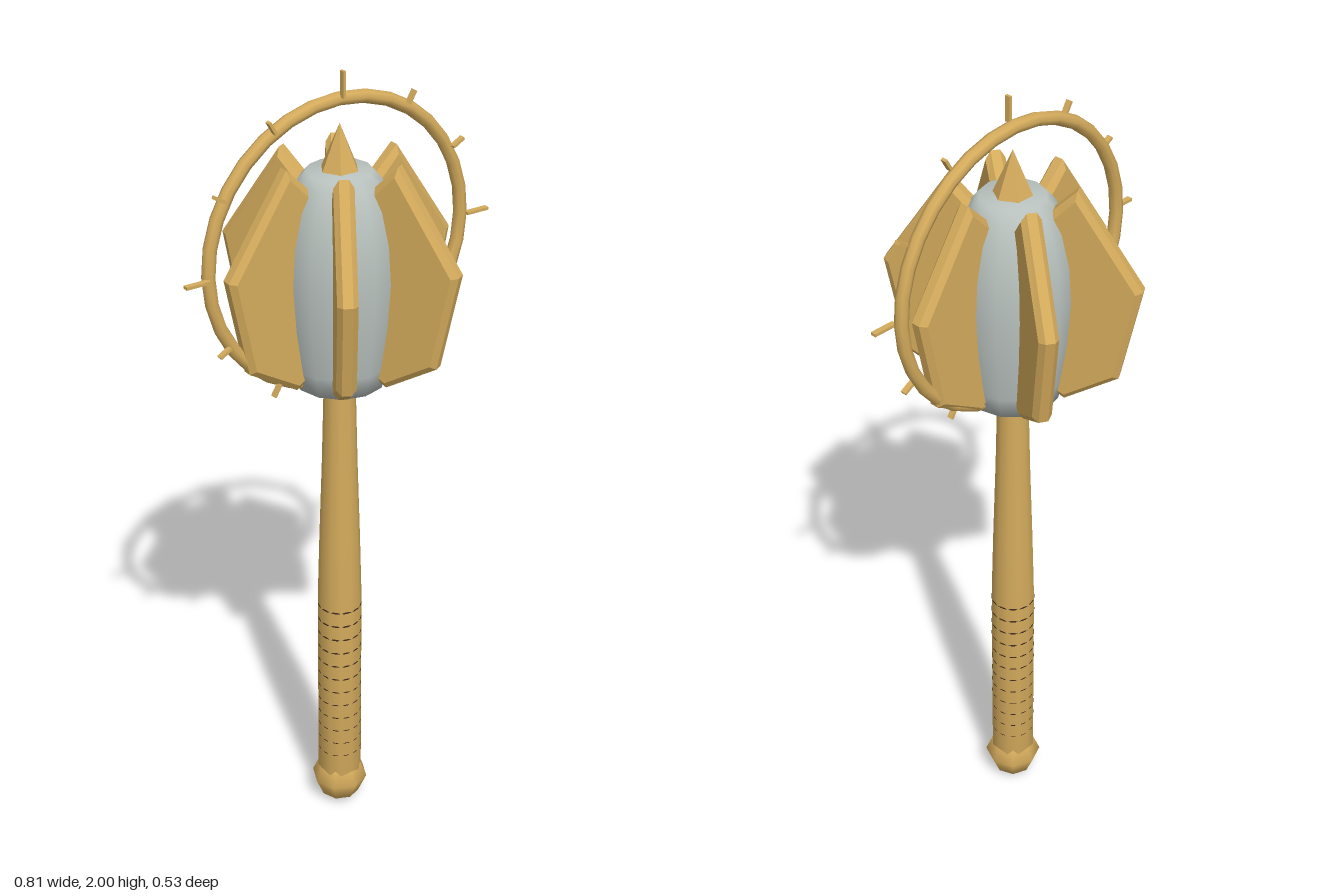
import * as THREE from 'three';

const gold = new THREE.MeshStandardMaterial({ color: 0xd4ab5c });
const goldFlat = new THREE.MeshStandardMaterial({ color: 0xd4ab5c, flatShading: true });
const silver = new THREE.MeshStandardMaterial({ color: 0xb9c2be });
const dark = new THREE.MeshStandardMaterial({ color: 0x3d2a20 });

function add(parent, name, geometry, material, x = 0, y = 0, z = 0) {
  const mesh = new THREE.Mesh(geometry, material);
  mesh.name = name;
  mesh.position.set(x, y, z);
  parent.add(mesh);
  return mesh;
}

const lathe = (points, sides) =>
  new THREE.LatheGeometry(points.map(([r, y]) => new THREE.Vector2(r, y)), sides);

export function createModel() {
  const mace = new THREE.Group();
  mace.name = 'mace';

  // Pommel and tapering handle
  add(mace, 'pommel', new THREE.SphereGeometry(0.072, 8, 4), gold, 0, 0.073, 0);
  add(mace, 'handle', lathe([[0, 0.08], [0.056, 0.08], [0.055, 0.64], [0.05, 0.82],
    [0.043, 1.03], [0.037, 1.27]], 12), gold);

  // Grip bands, breaking the surface only at the middle of each facet
  for (let i = 0; i < 12; i++) {
    const band = add(mace, 'gripBand', new THREE.TorusGeometry(0.0523, 0.0025, 6, 36),
      dark, 0, 0.17 + i * 0.041, 0);
    band.rotation.x = Math.PI / 2;
  }

  // Domed head core
  add(mace, 'headCore', lathe([[0, 1.255], [0.108, 1.255], [0.122, 1.31], [0.138, 1.42],
    [0.145, 1.53], [0.139, 1.62], [0.121, 1.7], [0.095, 1.75], [0.075, 1.773], [0, 1.778]], 12), silver);

  // Six bevelled flanges around the core
  const outline = [[0.06, 1.72], [0.1, 1.76], [0.145, 1.805], [0.297, 1.575], [0.25, 1.34],
    [0.125, 1.265], [0.07, 1.3]];
  const bevel = 0.014;
  const flange = new THREE.ExtrudeGeometry(
    new THREE.Shape(outline.map(([r, y]) => new THREE.Vector2(r, y))),
    { depth: 0.022, bevelEnabled: true, bevelSegments: 1, bevelThickness: 0.012, bevelSize: bevel, bevelOffset: -bevel });
  flange.translate(0, 0, -0.011);
  for (let i = 0; i < 6; i++) {
    add(mace, 'flange', flange, goldFlat).rotation.y = i * Math.PI / 3;
  }

  // Hexagonal tip
  const tip = add(mace, 'tip', new THREE.ConeGeometry(0.054, 0.125, 6), goldFlat, 0, 1.8175, 0);
  tip.rotation.y = Math.PI / 6;

  // Halo ring with long and short rays
  const halo = new THREE.Group();
  halo.name = 'halo';
  halo.position.y = 1.595;
  mace.add(halo);
  add(halo, 'ring', new THREE.TorusGeometry(0.339, 0.016, 8, 32), gold, 0, 0, -0.003);
  for (let deg = -60; deg <= 240; deg += 30) {
    const a = deg * Math.PI / 180;
    const inner = 0.345;
    const outer = deg % 90 === 0 ? 0.405 : 0.378;
    const r = (inner + outer) / 2;
    const ray = add(halo, 'ray', new THREE.BoxGeometry(outer - inner, 0.007, 0.014),
      goldFlat, r * Math.cos(a), r * Math.sin(a), 0.013);
    ray.rotation.z = a;
  }
  return mace;
}
